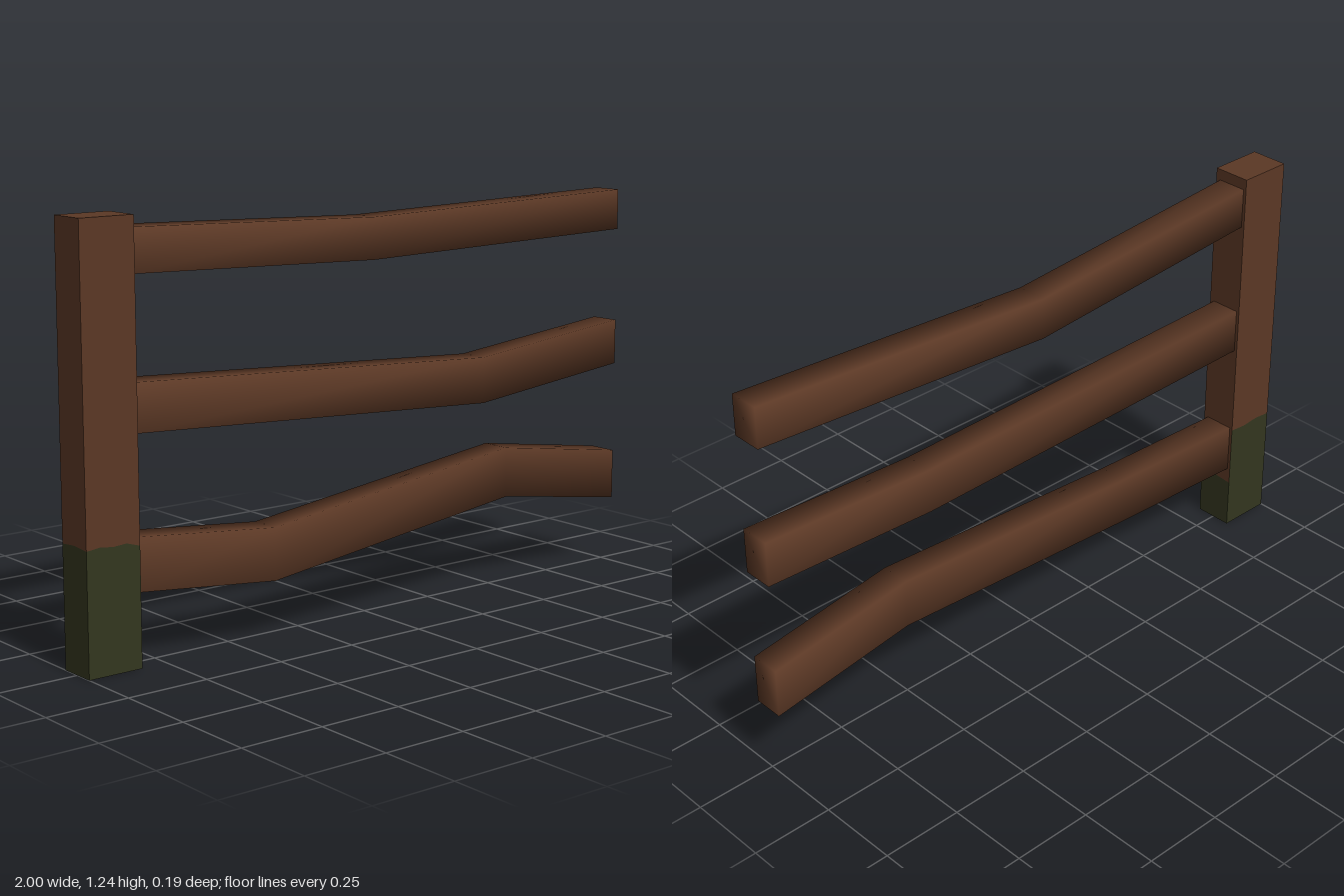
import * as THREE from 'three';

const wood = new THREE.MeshStandardMaterial({ color: 0x5b3825 });
wood.name = 'brownWood';
const moss = new THREE.MeshStandardMaterial({ color: 0x33361f });
moss.name = 'darkMoss';

function addMesh(parent, geometry, material, name) {
  const mesh = new THREE.Mesh(geometry, material);
  mesh.name = name;
  parent.add(mesh);
  return mesh;
}

const POST = { x: -0.915, width: 0.17, depth: 0.12, height: 1.24 };

// One upright side of the post: moss below an uneven line, bare wood above it
function postSide(name, width, distance, angle, mossLine) {
  const side = new THREE.Group();
  side.name = name;
  const line = mossLine.map((y, i) => new THREE.Vector2((i / (mossLine.length - 1) - 0.5) * width, y));
  const panel = (edgeY) => new THREE.ShapeGeometry(new THREE.Shape([
    new THREE.Vector2(-width / 2, edgeY), ...line, new THREE.Vector2(width / 2, edgeY),
  ])).translate(0, 0, distance);
  addMesh(side, panel(0), moss, name + 'Moss');
  addMesh(side, panel(POST.height), wood, name + 'Wood');
  side.rotation.y = angle;
  return side;
}

function createPost() {
  const post = new THREE.Group();
  post.name = 'post';
  const { width: w, depth: d, height: h } = POST;
  post.add(
    postSide('postFront', w, d / 2, 0, [0.355, 0.36, 0.355, 0.358, 0.345]),
    postSide('postInner', d, w / 2, Math.PI / 2, [0.16, 0.165, 0.16]),
    postSide('postBack', w, d / 2, Math.PI, [0.36, 0.355, 0.36, 0.355]),
    postSide('postOuter', d, w / 2, -Math.PI / 2, [0.355, 0.36, 0.355]),
  );
  const cap = () => new THREE.PlaneGeometry(w, d);
  addMesh(post, cap().rotateX(-Math.PI / 2).translate(0, h, 0), wood, 'postTop');
  addMesh(post, cap().rotateX(Math.PI / 2), wood, 'postBottom');
  post.position.x = POST.x;
  return post;
}

// Bent four-sided rail with soft normals; stations are [x, centre y, centre z]
function railGeometry(stations, height, depth) {
  const positions = [];
  const index = [];
  const corners = [[-1, -1], [-1, 1], [1, 1], [1, -1]]; // [y, z] signs
  for (const [x, y, z] of stations) {
    for (const [sy, sz] of corners) positions.push(x, y + sy * height / 2, z + sz * depth / 2);
  }
  for (let s = 0; s < stations.length - 1; s++) {
    for (let c = 0; c < 4; c++) {
      const a = s * 4 + c, b = s * 4 + (c + 1) % 4;
      index.push(a, a + 4, b + 4, a, b + 4, b);
    }
  }
  const e = (stations.length - 1) * 4;
  index.push(0, 1, 2, 0, 2, 3, e, e + 2, e + 1, e, e + 3, e + 2);
  const geometry = new THREE.BufferGeometry();
  geometry.setAttribute('position', new THREE.Float32BufferAttribute(positions, 3));
  geometry.setIndex(index);
  geometry.computeVertexNormals();
  return geometry;
}

export function createModel() {
  const fence = new THREE.Group();
  fence.name = 'fence';
  fence.add(createPost());

  // Three crooked rails reaching from the post to the open end
  const rails = [
    ['topRail', 0.125, [[-0.83, 1.143, -0.003], [0.04, 1.112, -0.047], [1, 1.143, -0.003]]],
    ['middleRail', 0.14, [[-0.83, 0.72, -0.003], [0.4, 0.665, 0.033], [1, 0.72, -0.003]]],
    ['bottomRail', 0.155, [[-0.83, 0.288, -0.003], [-0.4, 0.258, 0.048], [0.53, 0.357, -0.003], [1, 0.288, -0.003]]],
  ];
  for (const [name, height, stations] of rails) {
    addMesh(fence, railGeometry(stations, height, 0.094), wood, name);
  }
  return fence;
}
